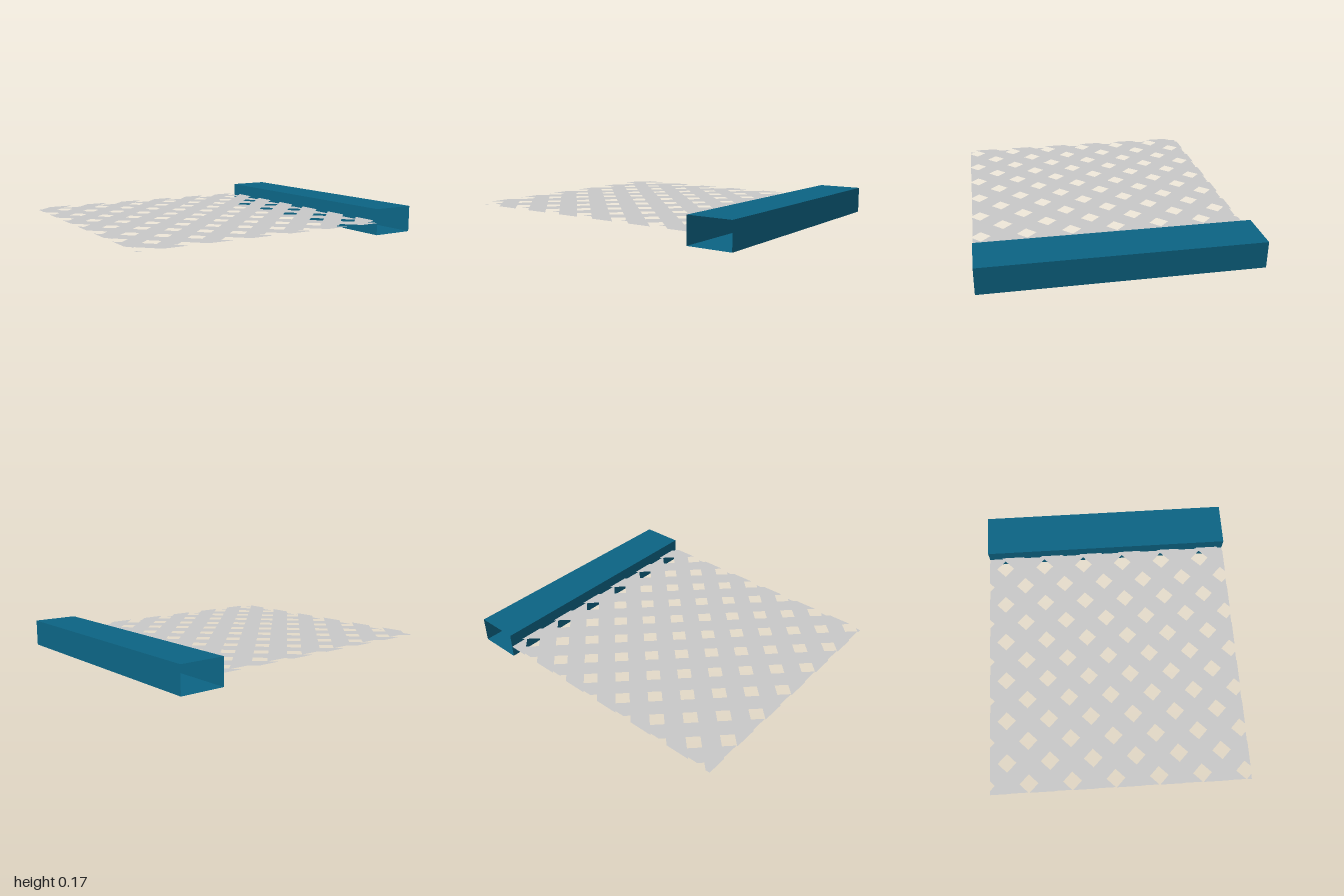
import * as THREE from 'three';
import { mergeGeometries } from 'three/addons/utils/BufferGeometryUtils.js';

const X0 = -1, X1 = 0.71, Z = 0.857; // lattice extents
const PITCH = 0.285, HALF = 0.0805; // strip spacing and half width along the axes

// Keep the part of a polygon where f(point) >= 0
function clip(points, f) {
  const out = [];
  points.forEach((a, i) => {
    const b = points[(i + 1) % points.length];
    const fa = f(a), fb = f(b);
    if (fa >= 0) out.push(a);
    if ((fa >= 0) !== (fb >= 0)) out.push(a.clone().lerp(b, fa / (fa - fb)));
  });
  return out;
}

// Parallel diagonal strips x + s*z = const, trimmed to the rectangle
function stripLayer(s, offset, y) {
  const rect = [[X0, -Z], [X1, -Z], [X1, Z], [X0, Z]].map(p => new THREE.Vector2(...p));
  const strips = [];
  for (let k = -10; k <= 10; k++) {
    const c = offset + k * PITCH;
    let poly = clip(rect, p => p.x + s * p.y - (c - HALF));
    poly = clip(poly, p => c + HALF - (p.x + s * p.y));
    if (poly.length > 2) strips.push(new THREE.ShapeGeometry(new THREE.Shape(poly)));
  }
  return mergeGeometries(strips).rotateX(Math.PI / 2).translate(0, y, 0);
}

export function createModel() {
  const blue = new THREE.MeshStandardMaterial({ color: 0x0c6484, side: THREE.DoubleSide });
  blue.name = 'blue';
  const grey = new THREE.MeshStandardMaterial({ color: 0xc8c8c8, side: THREE.DoubleSide });
  grey.name = 'light grey';

  const model = new THREE.Group();
  model.name = 'latticePanelWithBeam';
  const add = (name, geometry, material) => {
    const mesh = new THREE.Mesh(geometry, material);
    mesh.name = name;
    model.add(mesh);
  };

  // Hollow square beam with open ends: the four long sides of a box
  const beam = new THREE.BoxGeometry(1 - X1, 0.172, 2 * Z);
  beam.setIndex(Array.from(beam.index.array).slice(0, 24));
  beam.clearGroups();
  beam.translate((1 + X1) / 2, 0.086, 0);
  add('hollowBeam', beam, blue);

  // Two crossing layers of flat strips
  add('upperStrips', stripLayer(1, -1.4035, 0.094), grey);
  add('lowerStrips', stripLayer(-1, -0.1955, 0.08), grey);

  return model;
}
